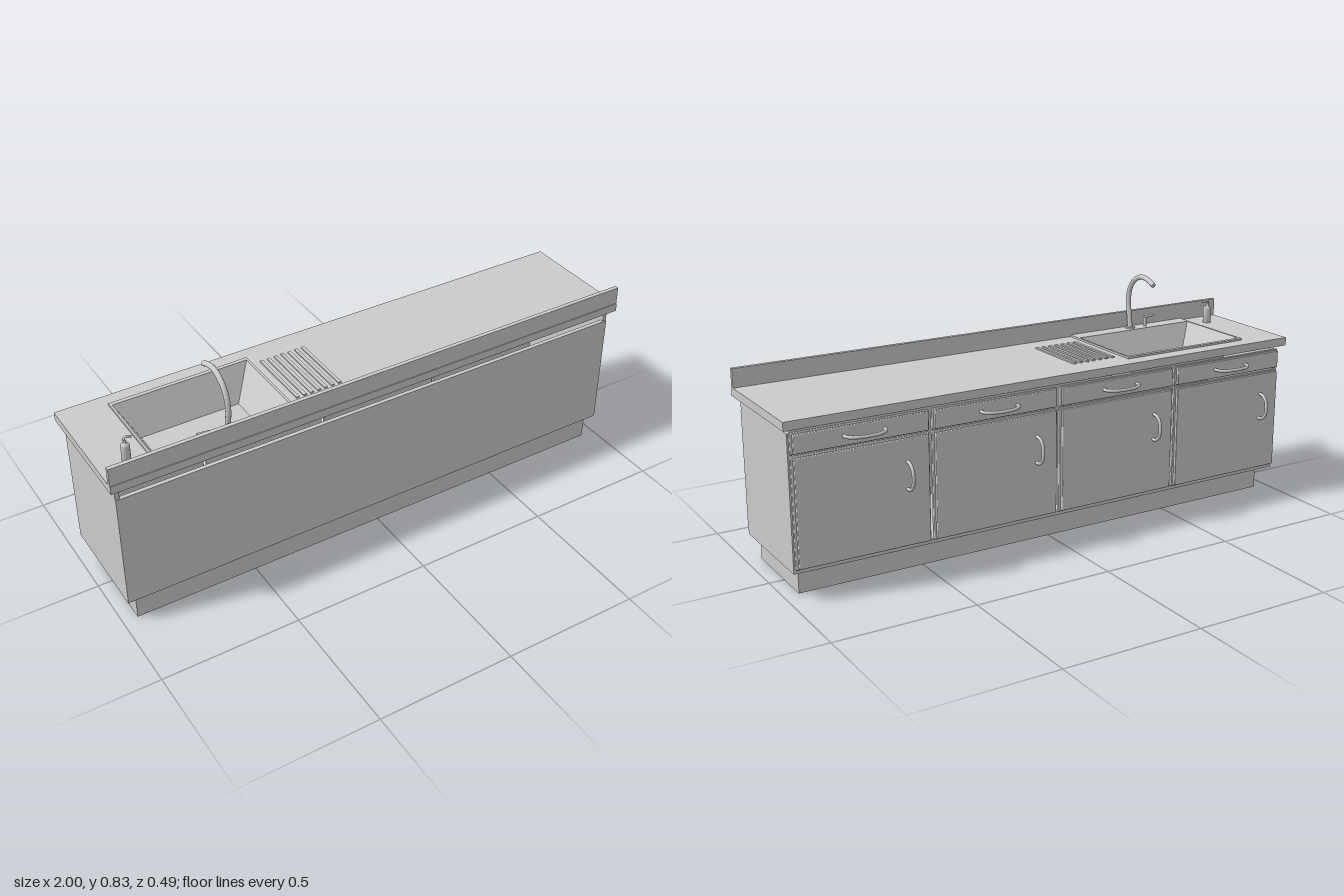
import * as THREE from 'three';
import { RoundedBoxGeometry } from 'three/addons/geometries/RoundedBoxGeometry.js';

const mat = new THREE.MeshStandardMaterial({ color: 0xcccccc });
const thin = new THREE.MeshStandardMaterial({ color: 0xcccccc, side: THREE.DoubleSide });

function add(parent, name, geometry, x = 0, y = 0, z = 0, material = mat) {
  const mesh = new THREE.Mesh(geometry, material);
  mesh.name = name;
  mesh.position.set(x, y, z);
  parent.add(mesh);
  return mesh;
}

// Box given by its minimum and maximum on each axis; a radius rounds its edges
function block(parent, name, [x0, x1], [y0, y1], [z0, z1], radius = 0) {
  const size = [x1 - x0, y1 - y0, z1 - z0];
  const geo = radius ? new RoundedBoxGeometry(...size, 2, radius) : new THREE.BoxGeometry(...size);
  return add(parent, name, geo, (x0 + x1) / 2, (y0 + y1) / 2, (z0 + z1) / 2);
}

// Horizontal slab with a rectangular hole, lying between y0 and y1
function slab(parent, name, [x0, x1], [z0, z1], [hx0, hx1], [hz0, hz1], [y0, y1]) {
  const corners = (a, b, c, d) => [[a, c], [b, c], [b, d], [a, d]].map(p => new THREE.Vector2(...p));
  const shape = new THREE.Shape(corners(x0, x1, z0, z1));
  shape.holes.push(new THREE.Path(corners(hx0, hx1, hz0, hz1)));
  const geo = new THREE.ExtrudeGeometry(shape, { depth: y1 - y0, bevelEnabled: false });
  geo.rotateX(Math.PI / 2);
  return add(parent, name, geo, 0, y1, 0);
}

// Capped round tube through a list of points
function pipe(parent, name, points, radius, segments = 32) {
  const pts = points.map(p => new THREE.Vector3(...p));
  const group = new THREE.Group();
  group.name = name;
  const curve = new THREE.CatmullRomCurve3(pts);
  add(group, name + 'Tube', new THREE.TubeGeometry(curve, segments, radius, 12), 0, 0, 0);
  for (const t of [0, 1]) {
    const p = curve.getPointAt(t);
    const out = curve.getTangentAt(t).multiplyScalar(t ? 1 : -1);
    const cap = add(group, name + 'End', new THREE.CircleGeometry(radius, 12), p.x, p.y, p.z);
    cap.quaternion.setFromUnitVectors(new THREE.Vector3(0, 0, 1), out);
  }
  parent.add(group);
  return group;
}

// Bow handle along x, bulging towards -z
function handle(parent, name, half, radius) {
  const profile = [[-1, 0], [-0.97, -0.016], [-0.75, -0.031], [-0.4, -0.04], [0, -0.042],
    [0.4, -0.04], [0.75, -0.031], [0.97, -0.016], [1, 0]];
  return pipe(parent, name, profile.map(([x, z]) => [x * half, 0, z]), radius);
}

export function createModel() {
  const model = new THREE.Group();
  model.name = 'kitchenSinkCabinet';

  // Plinth and open-topped carcass
  block(model, 'plinth', [-0.947, 0.947], [0, 0.092], [-0.125, 0.205]);
  block(model, 'cabinetFloor', [-0.98, 0.98], [0.092, 0.107], [-0.175, 0.222]);
  for (const s of [-1, 1]) {
    const side = block(model, 'sidePanel', [-0.0075, 0.0075], [0.092, 0.56], [-0.175, 0.222]);
    side.position.x = s * 0.9725;
  }
  block(model, 'backPanel', [-0.98, 0.98], [0.104, 0.53], [0.21, 0.225]);

  // Four bays, each a drawer above a door
  for (let i = 0; i < 4; i++) {
    const bay = new THREE.Group();
    bay.name = 'bay' + (i + 1);
    bay.position.x = -0.735 + 0.49 * i;
    block(bay, 'drawerFront', [-0.24, 0.24], [0.492, 0.564], [-0.186, -0.174], 0.003);
    block(bay, 'drawerPanel', [-0.233, 0.233], [0.497, 0.56], [-0.199, -0.186], 0.003);
    block(bay, 'door', [-0.24, 0.24], [0.107, 0.487], [-0.186, -0.174], 0.003);
    block(bay, 'doorPanel', [-0.233, 0.233], [0.113, 0.482], [-0.199, -0.186], 0.003);
    handle(bay, 'drawerHandle', 0.07, 0.006).position.set(-0.005, 0.53, -0.199);
    const doorHandle = handle(bay, 'doorHandle', 0.047, 0.006);
    doorHandle.rotation.z = Math.PI / 2;
    doorHandle.position.set(-0.152, 0.358, -0.199);
    model.add(bay);
  }

  // Worktop, splashback and sink rim
  const holeX = [-0.824, -0.326], holeZ = [-0.132, 0.172];
  slab(model, 'worktop', [-1, 1], [-0.202, 0.247], holeX, holeZ, [0.578, 0.608]);
  block(model, 'splashback', [-1, 1], [0.608, 0.674], [0.229, 0.244]);
  slab(model, 'sinkRim', [-0.832, -0.318], [-0.147, 0.228], holeX, holeZ, [0.608, 0.615]);

  // Tapered basin: a box without its lid, narrowing towards the floor
  const basin = new THREE.BoxGeometry(1, 1, 1);
  const index = Array.from(basin.index.array);
  index.splice(12, 6);
  basin.setIndex(index);
  const pos = basin.attributes.position;
  for (let i = 0; i < pos.count; i++) {
    const top = pos.getY(i) > 0, right = pos.getX(i) > 0, front = pos.getZ(i) > 0;
    pos.setXYZ(i,
      top ? holeX[+right] : (right ? -0.39 : -0.755),
      top ? 0.613 : 0.485,
      top ? holeZ[+front] : (front ? 0.118 : -0.082));
  }
  basin.computeVertexNormals();
  add(model, 'basin', basin, 0, 0, 0, thin);

  // Draining ridges beside the sink
  for (let i = 0; i < 7; i++) {
    const x = -0.12 - i * 0.027;
    block(model, 'drainRidge', [x - 0.006, x + 0.006], [0.606, 0.613], [-0.105, 0.145]);
  }

  // Swan-neck tap with a small lever beside it
  const tapX = -0.575;
  add(model, 'tapBase', new THREE.CylinderGeometry(0.018, 0.02, 0.005, 24), tapX, 0.6165, 0.205);
  pipe(model, 'tapSpout', [[0.615, 0.204], [0.66, 0.211], [0.715, 0.219], [0.76, 0.213], [0.797, 0.19],
    [0.818, 0.158], [0.824, 0.125], [0.817, 0.091], [0.804, 0.062]].map(([y, z]) => [tapX, y, z]), 0.0095, 48);
  add(model, 'leverPost', new THREE.CylinderGeometry(0.006, 0.007, 0.035, 16), -0.642, 0.632, 0.203);
  pipe(model, 'lever', [[-0.637, 0.648, 0.203], [-0.66, 0.651, 0.203], [-0.682, 0.653, 0.203]], 0.005, 8);

  // Soap dispenser
  const soap = [[0, 0], [0.015, 0], [0.015, 0.058], [0.011, 0.063], [0.005, 0.064], [0.005, 0.074], [0.003, 0.075],
    [0.003, 0.085], [0, 0.085]].map(p => new THREE.Vector2(...p));
  add(model, 'soapBottle', new THREE.LatheGeometry(soap, 24), -0.9, 0.607, 0.147);
  pipe(model, 'soapNozzle', [[-0.905, 0.684, 0.147], [-0.9, 0.692, 0.147], [-0.888, 0.694, 0.147],
    [-0.876, 0.689, 0.147]], 0.004, 16);

  return model;
}
